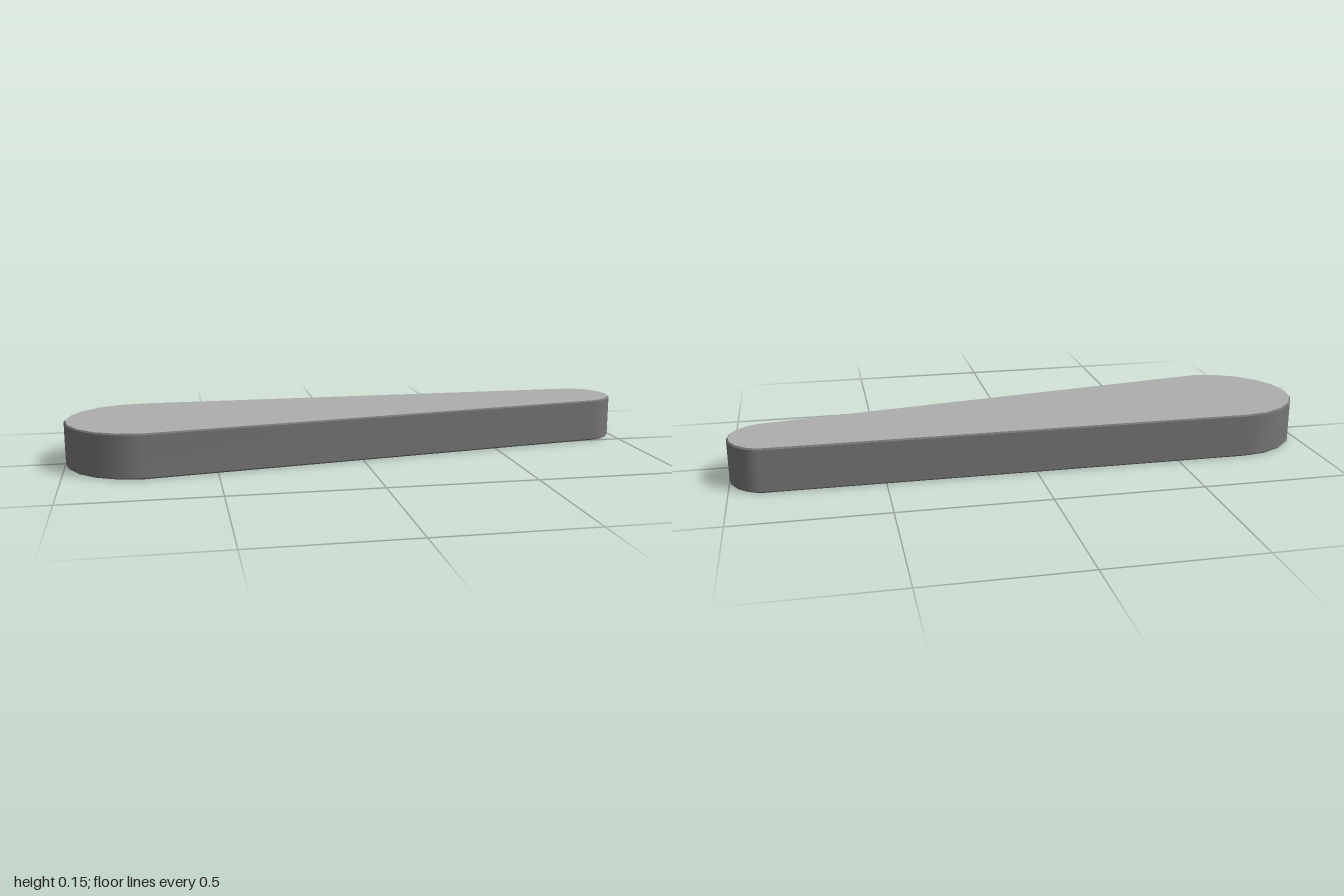
import * as THREE from 'three';

const HEIGHT = 0.15, CHAMFER = 0.005;
const BIG_RADIUS = 0.26, SMALL_RADIUS = 0.1345;
const SWEEP = Math.atan2(0.13, 0.0345);

// Points of an arc in plan, both ends included
function arc(cx, cy, radius, from, to, segments) {
  return Array.from({ length: segments + 1 }, (_, i) => {
    const angle = from + ((to - from) * i) / segments;
    return new THREE.Vector2(cx + radius * Math.cos(angle), cy + radius * Math.sin(angle));
  });
}

// Counter-clockwise plan outline (plan y is -z): small left end, then large right end
function outline(inset) {
  return [
    ...arc(1 - SMALL_RADIUS, 0.13, SMALL_RADIUS - inset, -SWEEP, SWEEP, 8),
    ...arc(-1 + BIG_RADIUS, 0, BIG_RADIUS - inset, Math.PI / 2, Math.PI * 1.5, 10),
  ];
}

// Closed strip between two outlines, smooth around and sharp at its rims
function band(lower, lowerY, upper, upperY) {
  const n = lower.length, positions = [], index = [];
  lower.forEach((p) => positions.push(p.x, lowerY, -p.y));
  upper.forEach((p) => positions.push(p.x, upperY, -p.y));
  for (let i = 0; i < n; i++) {
    const j = (i + 1) % n;
    index.push(i, j, n + j, i, n + j, n + i);
  }
  const geometry = new THREE.BufferGeometry();
  geometry.setAttribute('position', new THREE.Float32BufferAttribute(positions, 3));
  geometry.setIndex(index);
  geometry.computeVertexNormals();
  return geometry;
}

export function createModel() {
  const group = new THREE.Group();
  group.name = 'taperedPaddle';
  const faceMaterial = new THREE.MeshStandardMaterial({ color: 0xadadad });
  const edgeMaterial = new THREE.MeshStandardMaterial({ color: 0x767676 });
  const add = (name, geometry, material) => {
    const mesh = new THREE.Mesh(geometry, material);
    mesh.name = name;
    group.add(mesh);
  };

  const full = outline(0), inset = outline(CHAMFER);

  // Dark rim: wall and a fine chamfer above and below
  add('lowerChamfer', band(inset, 0, full, CHAMFER), edgeMaterial);
  add('sideWall', band(full, CHAMFER, full, HEIGHT - CHAMFER), edgeMaterial);
  add('upperChamfer', band(full, HEIGHT - CHAMFER, inset, HEIGHT), edgeMaterial);

  // Lighter flat faces
  const top = new THREE.ShapeGeometry(new THREE.Shape(inset));
  add('topFace', top.rotateX(-Math.PI / 2).translate(0, HEIGHT, 0), faceMaterial);
  const mirrored = inset.map((p) => new THREE.Vector2(p.x, -p.y));
  const bottom = new THREE.ShapeGeometry(new THREE.Shape(mirrored));
  add('bottomFace', bottom.rotateX(Math.PI / 2), faceMaterial);

  return group;
}
